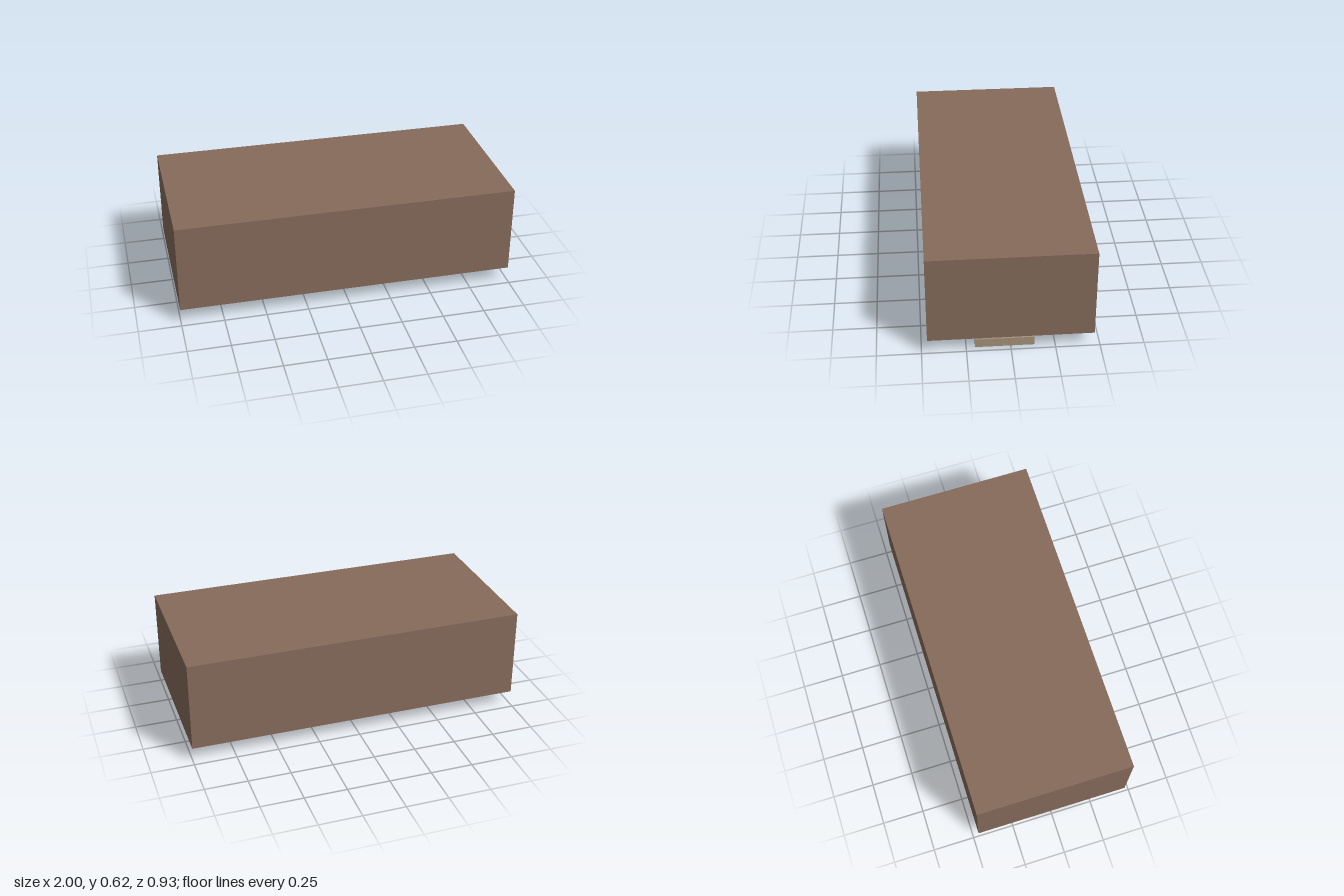
import * as THREE from 'three';

// One layout unit; the body is 30 units long
const U = 1 / 15;

function paint(name, hex) {
  const m = new THREE.MeshStandardMaterial({ color: hex });
  m.name = name;
  return m;
}

// Box given by its minimum and maximum on each axis
function box(name, material, [x0, x1], [y0, y1], [z0, z1]) {
  const mesh = new THREE.Mesh(new THREE.BoxGeometry(x1 - x0, y1 - y0, z1 - z0), material);
  mesh.position.set((x0 + x1) / 2, (y0 + y1) / 2, (z0 + z1) / 2);
  mesh.name = name;
  return mesh;
}

export function createModel() {
  const group = new THREE.Group();
  group.name = 'model';
  const brown = paint('brown', 0x866b5b);
  const tan = paint('tan', 0xa59379);
  const olive = paint('olive', 0xb1a571);

  // Large block
  group.add(box('body', brown, [-1, 1], [0.088, 0.622], [-7 * U, 7 * U]));

  // Plate under the block
  group.add(box('plate', olive, [-0.72, 0.72], [0.04, 0.088], [-0.214, 0.214]));

  // Row of five square tiles
  for (let i = -2; i <= 2; i++) {
    const x = i * 6 * U;
    group.add(box('tile', tan, [x - 2.5 * U, x + 2.5 * U], [0, 0.8 * U], [-2 * U, 3 * U]));
  }

  // Small links joining the three middle tiles
  for (const side of [-1, 1]) {
    const x = side * 3 * U;
    group.add(box('link', tan, [x - U / 2, x + U / 2], [0, 0.8 * U], [U, 2 * U]));
  }

  return group;
}
